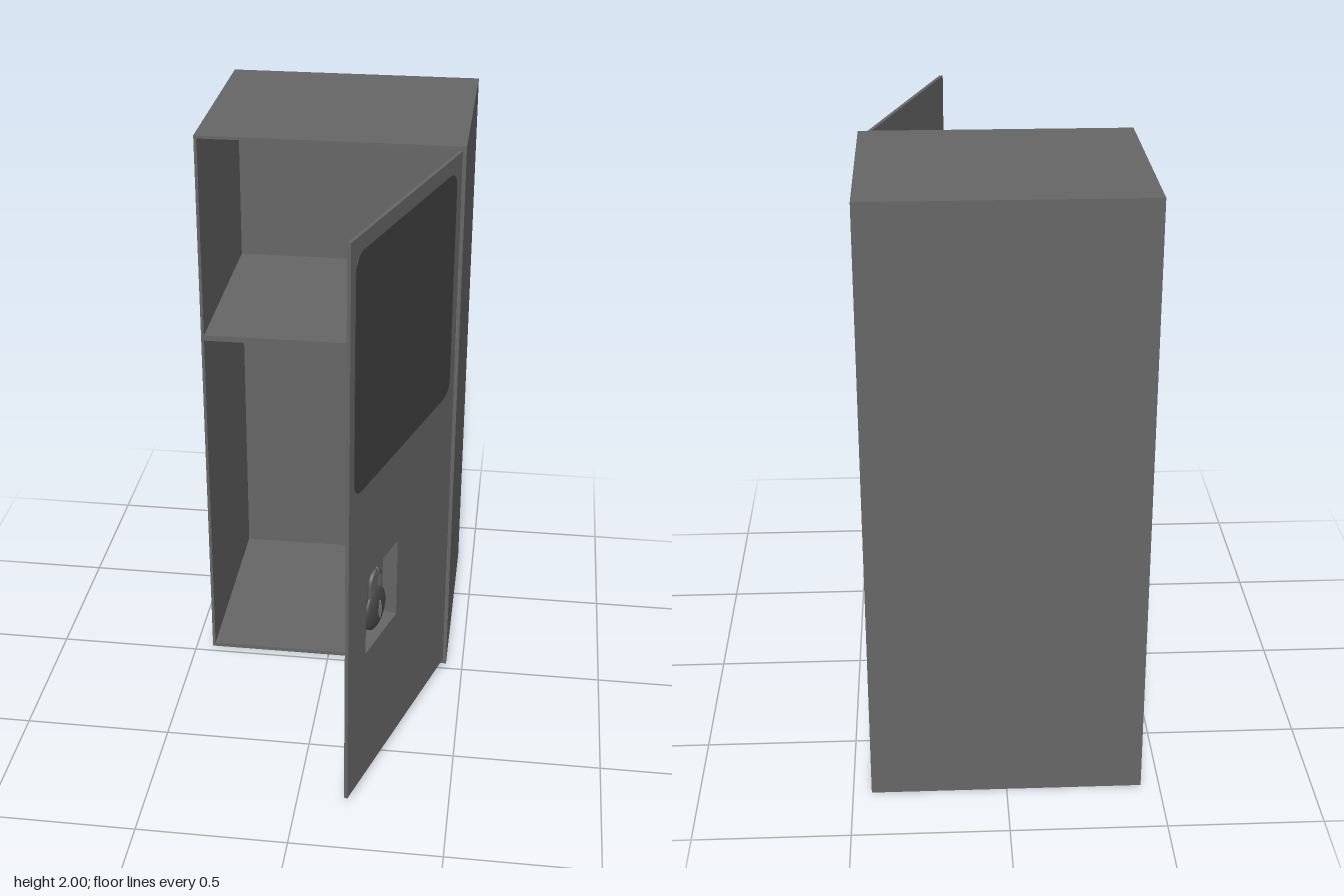
import * as THREE from 'three';

const mat = (name, color) => {
  const m = new THREE.MeshStandardMaterial({ color });
  m.name = name;
  return m;
};

function roundedRect(x0, y0, x1, y1, r) {
  const s = new THREE.Shape();
  s.moveTo(x0 + r, y0);
  s.lineTo(x1 - r, y0);
  s.quadraticCurveTo(x1, y0, x1, y0 + r);
  s.lineTo(x1, y1 - r);
  s.quadraticCurveTo(x1, y1, x1 - r, y1);
  s.lineTo(x0 + r, y1);
  s.quadraticCurveTo(x0, y1, x0, y1 - r);
  s.lineTo(x0, y0 + r);
  s.quadraticCurveTo(x0, y0, x0 + r, y0);
  return s;
}

export function createModel() {
  const steel = mat('grey steel', 0x666666);
  const panel = mat('dark panel', 0x404040);
  const lockMetal = mat('dark lock metal', 0x484848);
  const shackleMetal = mat('shackle metal', 0x5c5c5c);
  const keyMetal = mat('keyhole metal', 0x808080);

  const model = new THREE.Group();
  model.name = 'locker';
  const add = (parent, name, geometry, material) => {
    const m = new THREE.Mesh(geometry, material);
    m.name = name;
    parent.add(m);
    return m;
  };
  // box given by its two opposite corners
  const box = (parent, name, material, x0, x1, y0, y1, z0, z1) => {
    const m = add(parent, name, new THREE.BoxGeometry(x1 - x0, y1 - y0, z1 - z0), material);
    m.position.set((x0 + x1) / 2, (y0 + y1) / 2, (z0 + z1) / 2);
    return m;
  };
  const plate = (parent, name, material, shape, z, depth) => {
    const m = add(parent, name,
      new THREE.ExtrudeGeometry(shape, { depth, bevelEnabled: false, curveSegments: 10 }), material);
    m.position.z = z;
    return m;
  };

  // cabinet shell, open at the front
  const W = 0.44, T = 0.01, back = -0.787, front = -0.03;
  const cabinet = new THREE.Group();
  cabinet.name = 'cabinet';
  model.add(cabinet);
  box(cabinet, 'rightWall', steel, -W, -W + T, 0, 2, back, front);
  box(cabinet, 'leftWall', steel, W - T, W, 0, 2, back, front);
  box(cabinet, 'backWall', steel, -W + T, W - T, 0, 2, back, back + T);
  box(cabinet, 'floor', steel, -W + T, W - T, 0, 0.014, back + T, front);
  box(cabinet, 'roof', steel, -W + T, W - T, 2 - T, 2, back + T, front);
  box(cabinet, 'shelf', steel, -W + T, W - T, 1.27, 1.29, back + T, front - 0.004);

  // open door: hinge at local x = 0, outer face towards local +z
  const door = new THREE.Group();
  door.name = 'door';
  door.position.set(0.422, 0, -0.03);
  door.rotation.y = Math.atan2(0.953, 0.304);
  model.add(door);

  const L = -0.72, R = -0.468, B = 0.515, U = 0.803;
  const sheet = new THREE.Shape();
  sheet.moveTo(-0.856, 0.02);
  sheet.lineTo(0, 0.02);
  sheet.lineTo(0, 1.985);
  sheet.lineTo(-0.856, 1.985);
  sheet.closePath();
  const hole = new THREE.Path();
  hole.moveTo(L, B);
  hole.lineTo(L, U);
  hole.lineTo(R, U);
  hole.lineTo(R, B);
  hole.closePath();
  sheet.holes.push(hole);
  plate(door, 'doorSheet', steel, sheet, -0.006, 0.012);
  plate(door, 'doorPanel', panel, roundedRect(-0.824, 1.15, -0.045, 1.935, 0.06), 0.006, 0.002);

  // recessed lock pocket
  const D = -0.045, t = 0.004;
  box(door, 'pocketBack', steel, L - t, R + t, B - t, U + t, D - t, D);
  for (const x of [L - t, R]) box(door, 'pocketSide', steel, x, x + t, B - t, U + t, D, -0.006);
  for (const y of [B - t, U]) box(door, 'pocketEnd', steel, L, R, y, y + t, D, -0.006);

  // padlock
  const lock = new THREE.Group();
  lock.name = 'padlock';
  lock.position.set(-0.594, 0.61, -0.019);
  door.add(lock);
  add(lock, 'lockBody', new THREE.SphereGeometry(0.076, 32, 20), lockMetal).scale.z = 0.27;

  const arch = new THREE.CurvePath();
  const v = (x, y) => new THREE.Vector3(x, y, 0);
  const pts = [v(-0.038, 0.04), v(-0.038, 0.09)];
  for (let i = 0; i <= 12; i++) {
    const a = Math.PI * (1 - i / 12);
    pts.push(v(0.038 * Math.cos(a), 0.105 + 0.038 * Math.sin(a)));
  }
  pts.push(v(0.038, 0.09), v(0.038, 0.04));
  add(lock, 'shackle',
    new THREE.TubeGeometry(new THREE.CatmullRomCurve3(pts), 40, 0.008, 10), shackleMetal);

  // staple holding the shackle
  const staple = add(lock, 'staple', new THREE.TorusGeometry(0.019, 0.005, 8, 20), shackleMetal);
  staple.rotation.y = Math.PI / 2;
  staple.position.set(0, 0.143, -0.008);

  // keyhole
  const key = new THREE.Shape();
  key.moveTo(0, -0.035);
  key.quadraticCurveTo(0.018, -0.012, 0.013, 0.006);
  key.lineTo(0, 0.035);
  key.lineTo(-0.013, 0.006);
  key.quadraticCurveTo(-0.018, -0.012, 0, -0.035);
  plate(lock, 'keyhole', keyMetal, key, 0.0155, 0.006);

  return model;
}
